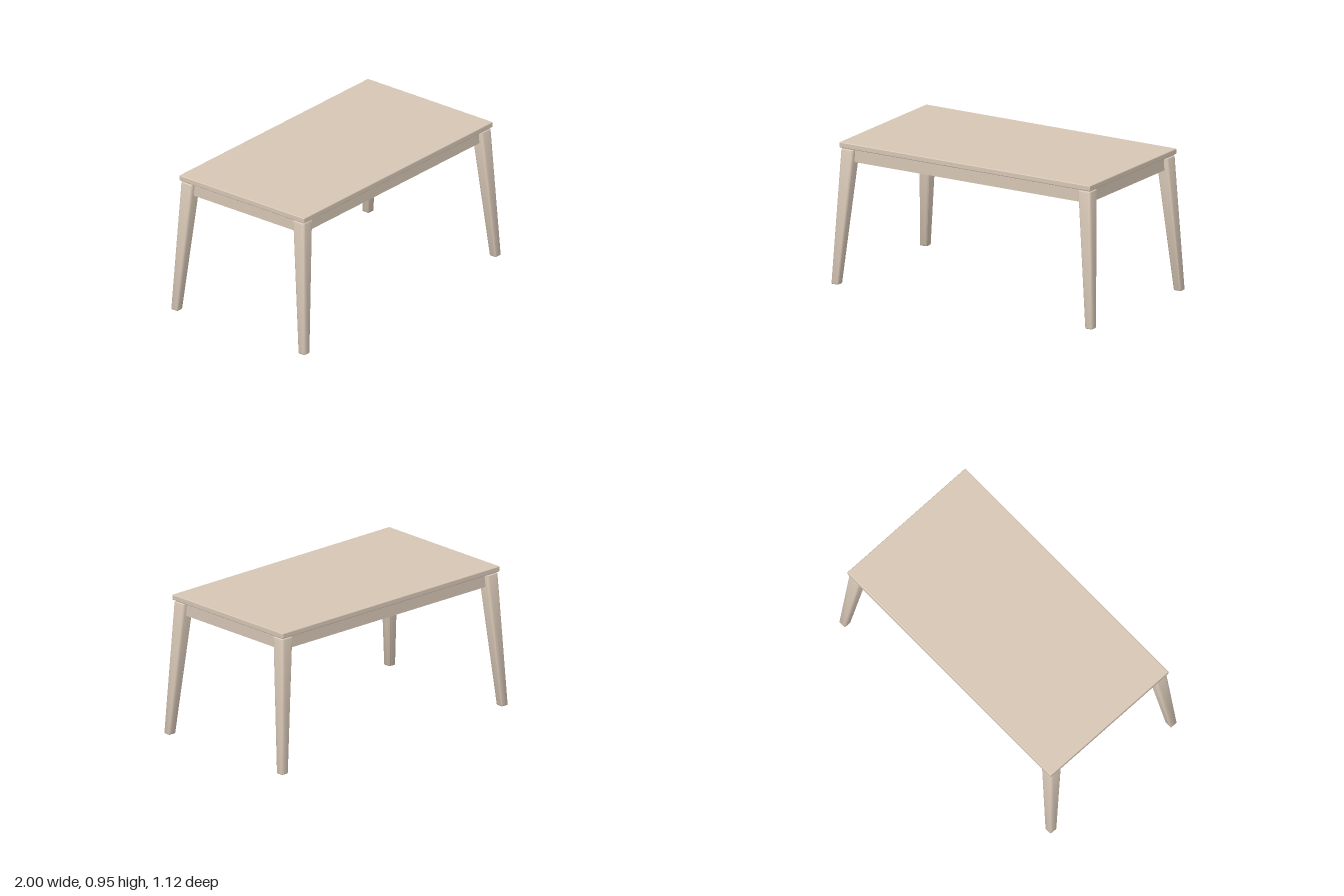
import * as THREE from 'three';
import { toCreasedNormals } from 'three/addons/utils/BufferGeometryUtils.js';
import { RoundedBoxGeometry } from 'three/addons/geometries/RoundedBoxGeometry.js';

const LEG_TOP = 0.905;
const lerp = THREE.MathUtils.lerp;

// Rounded square of half-size 1, used as the leg section
function roundedSquare(r) {
  const s = new THREE.Shape();
  const c = 1 - r;
  s.absarc(c, c, r, 0, Math.PI / 2);
  s.absarc(-c, c, r, Math.PI / 2, Math.PI);
  s.absarc(-c, -c, r, Math.PI, Math.PI * 1.5);
  s.absarc(c, -c, r, Math.PI * 1.5, Math.PI * 2);
  s.closePath();
  return s;
}

// Tapered leg splayed outward towards its corner (sx, sz)
function legGeometry(sx, sz) {
  const bevel = 0.006;
  const geo = new THREE.ExtrudeGeometry(roundedSquare(0.34), {
    depth: LEG_TOP - 2 * bevel, curveSegments: 5,
    bevelEnabled: true, bevelThickness: bevel, bevelSize: 0.1, bevelOffset: -0.1, bevelSegments: 2,
  });
  geo.rotateX(-Math.PI / 2);
  geo.translate(0, bevel, 0);
  const p = geo.attributes.position;
  for (let i = 0; i < p.count; i++) {
    const t = p.getY(i) / LEG_TOP;
    const half = lerp(0.0275, 0.0475, t);
    p.setX(i, p.getX(i) * half + sx * lerp(0.9725, 0.9075, t));
    p.setZ(i, p.getZ(i) * half + sz * lerp(0.5325, 0.4675, t));
  }
  return toCreasedNormals(geo, Math.PI / 4);
}

export function createModel() {
  const wood = new THREE.MeshStandardMaterial({ color: 0xd6c6b5 });
  wood.name = 'paleWood';

  const table = new THREE.Group();
  table.name = 'table';
  const add = (name, geo, x = 0, y = 0, z = 0) => {
    const mesh = new THREE.Mesh(geo, wood);
    mesh.name = name;
    mesh.position.set(x, y, z);
    table.add(mesh);
  };

  // Top with softly eased edges
  add('tabletop', new RoundedBoxGeometry(1.92, 0.037, 1.046, 3, 0.006), 0, 0.9315, 0);

  // Aprons running between the legs
  for (const s of [1, -1]) {
    add(s > 0 ? 'frontApron' : 'backApron', new THREE.BoxGeometry(1.78, 0.094, 0.035), 0, 0.867, s * 0.468);
    add(s > 0 ? 'leftApron' : 'rightApron', new THREE.BoxGeometry(0.035, 0.094, 0.9), s * 0.908, 0.867, 0);
  }

  // Legs, each with a small spacer block under the top
  for (const sx of [1, -1]) {
    for (const sz of [1, -1]) {
      const corner = (sz > 0 ? 'front' : 'back') + (sx > 0 ? 'Left' : 'Right');
      add(corner + 'Leg', legGeometry(sx, sz));
      add(corner + 'Spacer', new THREE.BoxGeometry(0.075, 0.02, 0.075), sx * 0.9075, 0.908, sz * 0.4675);
    }
  }
  return table;
}
